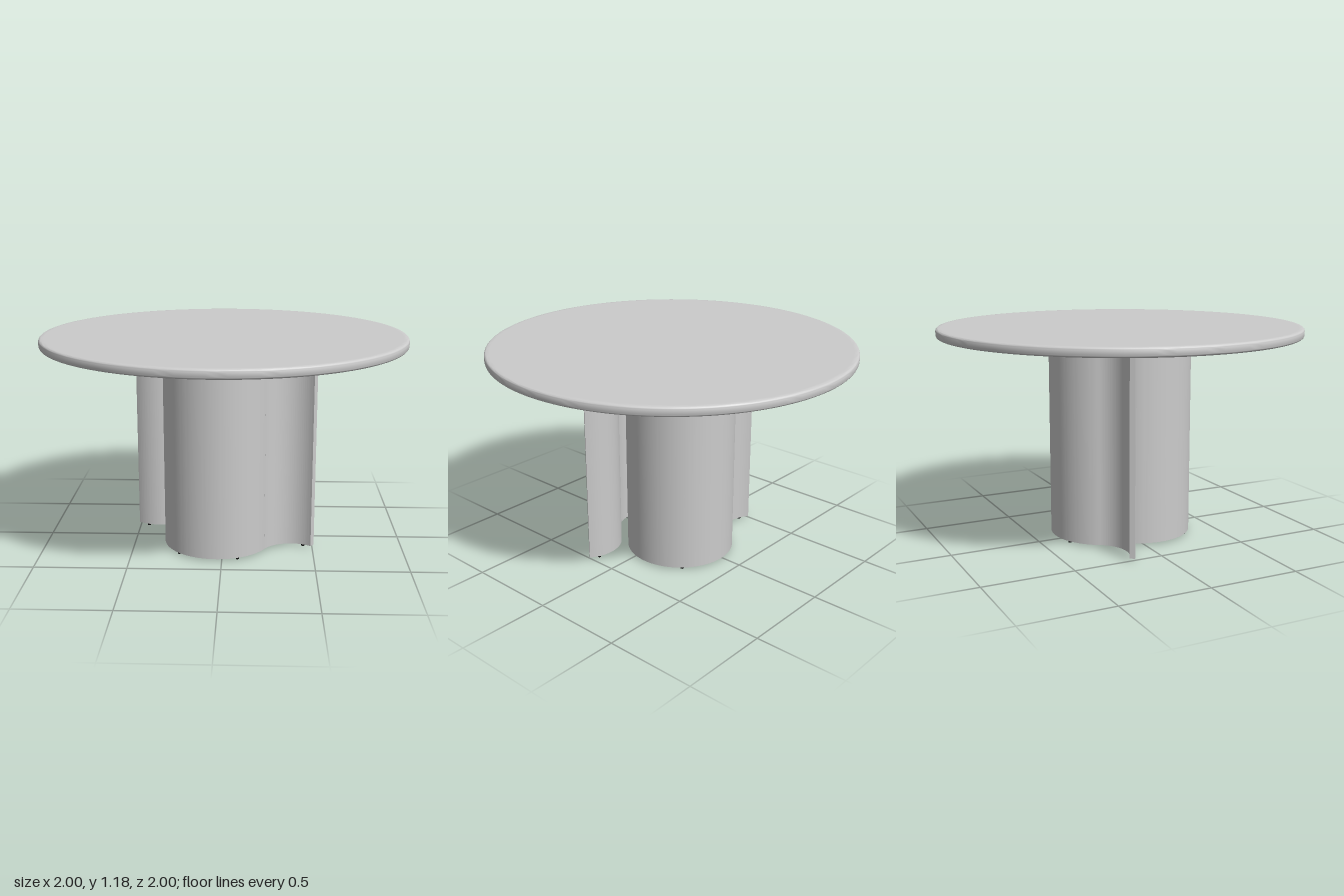
import * as THREE from 'three';
import { toCreasedNormals } from 'three/addons/utils/BufferGeometryUtils.js';

const grey = new THREE.MeshStandardMaterial({ color: 0xcccccc });
const black = new THREE.MeshStandardMaterial({ color: 0x111111 });

function part(name, geometry, material = grey) {
  const mesh = new THREE.Mesh(geometry, material);
  mesh.name = name;
  return mesh;
}

// Extrudes a plan drawn in (x, z) between two heights
function extrudePlan(shape, bottom, top) {
  const geo = new THREE.ExtrudeGeometry(shape, { depth: top - bottom, bevelEnabled: false, curveSegments: 56 });
  geo.rotateX(Math.PI / 2).translate(0, top, 0);
  return toCreasedNormals(geo, 0.5);
}

// Round top with softened rim
function tabletop() {
  const y0 = 1.13, y1 = 1.18, r = 0.015, steps = 5;
  const pts = [new THREE.Vector2(0, y0), new THREE.Vector2(0.97, y0)];
  for (const [cy, from] of [[y0 + r, -Math.PI / 2], [y1 - r, 0]]) {
    for (let i = 0; i <= steps; i++) {
      const a = from + (i / steps) * Math.PI / 2;
      pts.push(new THREE.Vector2(1 - r + r * Math.cos(a), cy + r * Math.sin(a)));
    }
  }
  pts.push(new THREE.Vector2(0.97, y1), new THREE.Vector2(0, y1));
  return toCreasedNormals(new THREE.LatheGeometry(pts, 128), 0.6);
}

// S-shaped panel: a large bulge running into a reversed flare
function panelPlan() {
  const rad = THREE.MathUtils.degToRad;
  const half = 0.015;
  const bulge = { x: -0.03, z: 0.09, r: 0.285, start: rad(236.3) };
  const flare = { x: 0.383, z: 0.325, r: 0.19, end: rad(308) };
  const join = Math.atan2(flare.z - bulge.z, flare.x - bulge.x);
  const s = new THREE.Shape();
  s.absarc(bulge.x, bulge.z, bulge.r + half, bulge.start, join, true);
  s.absarc(flare.x, flare.z, flare.r - half, join + Math.PI, flare.end, false);
  s.absarc(flare.x, flare.z, flare.r + half, flare.end, join + Math.PI, true);
  s.absarc(bulge.x, bulge.z, bulge.r - half, join, bulge.start, false);
  return s;
}

export function createModel() {
  const model = new THREE.Group();
  model.name = 'pedestalTable';
  model.add(part('tabletop', tabletop()));

  // Point-symmetric mounting plate under the top
  const corners = [[0.62, 0.02], [0.56, 0.28], [0.2, 0.49], [-0.44, 0.34]];
  const outline = [...corners, ...corners.map(([x, z]) => [-x, -z])];
  const plate = new THREE.Shape(outline.map(([x, z]) => new THREE.Vector2(x, z)));
  model.add(part('mountingPlate', extrudePlan(plate, 1.123, 1.132), black));

  // Two identical curved panels, half a turn apart, on small feet
  const panelGeo = extrudePlan(panelPlan(), 0.012, 1.125);
  const footGeo = new THREE.CylinderGeometry(0.009, 0.009, 0.014, 16).translate(0, 0.007, 0);
  const feet = [[-0.22, -0.125], [-0.235, 0.285], [0.085, 0.35], [0.45, 0.147]];
  ['front', 'back'].forEach((side, i) => {
    const leg = new THREE.Group();
    leg.name = side + 'Leg';
    leg.rotation.y = i * Math.PI;
    leg.add(part(side + 'Panel', panelGeo));
    for (const [x, z] of feet) {
      const foot = part(side + 'Foot', footGeo, black);
      foot.position.set(x, 0, z);
      leg.add(foot);
    }
    model.add(leg);
  });
  return model;
}
